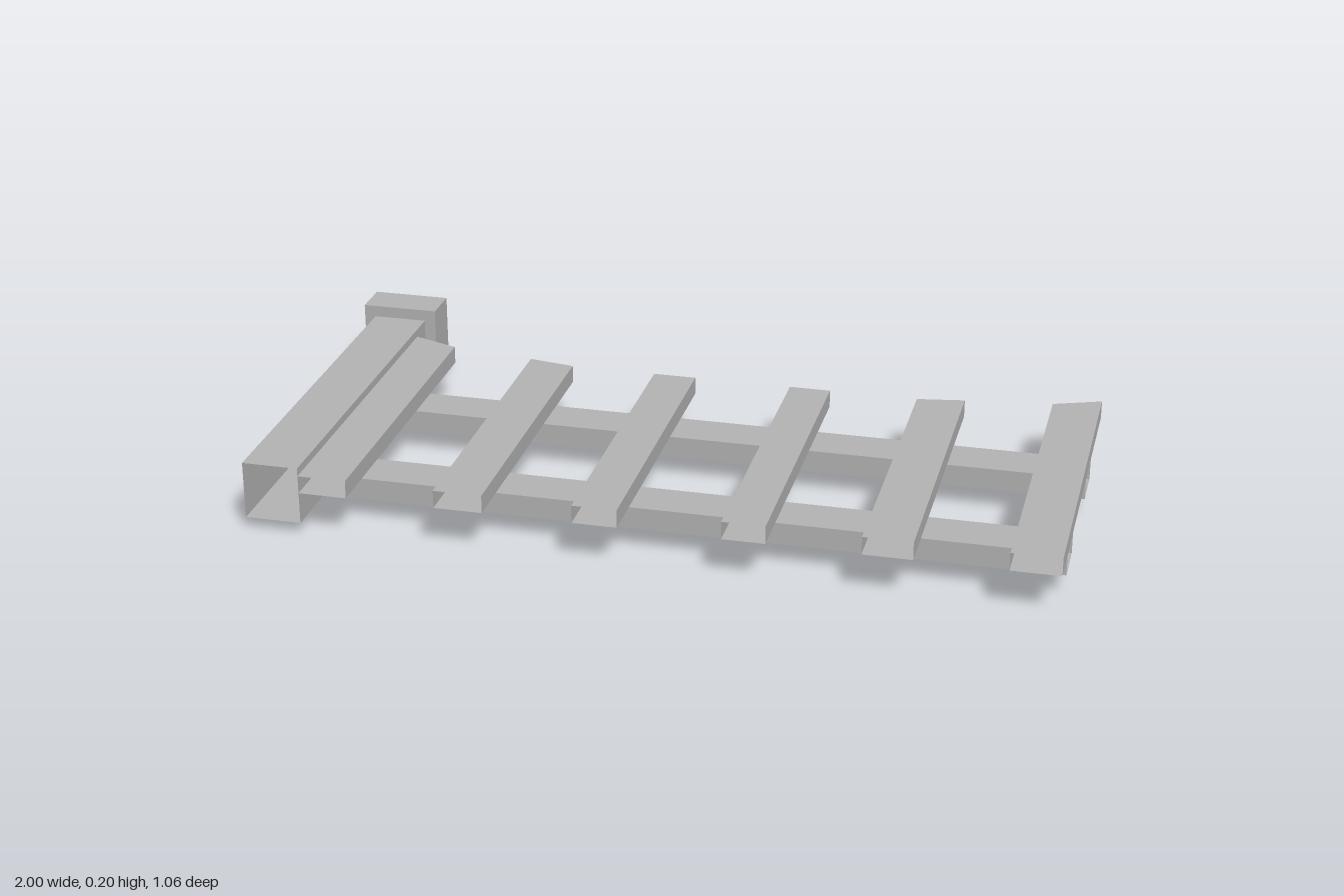
import * as THREE from 'three';

const FACES = { right: 0, left: 1, top: 2, bottom: 3, front: 4, back: 5 };

// Box given by its limits, optionally hollow at one end.
function block(x, y, z, openFace) {
  const geo = new THREE.BoxGeometry(x[1] - x[0], y[1] - y[0], z[1] - z[0]);
  geo.translate((x[0] + x[1]) / 2, (y[0] + y[1]) / 2, (z[0] + z[1]) / 2);
  if (openFace) {
    const index = Array.from(geo.index.array);
    index.splice(FACES[openFace] * 6, 6);
    geo.setIndex(index);
    geo.clearGroups();
  }
  return geo;
}

// Shift the back end so that it runs from zLeft to zRight.
function slantBack(geo, x, zLeft, zRight) {
  const p = geo.attributes.position;
  const mid = (x[0] + x[1]) / 2;
  for (let i = 0; i < p.count; i++) {
    if (p.getZ(i) < 0) p.setZ(i, p.getX(i) < mid ? zLeft : zRight);
  }
  // separate vertices per face keep the edges sharp
  geo.computeVertexNormals();
  return geo;
}

export function createModel() {
  const model = new THREE.Group();
  model.name = 'fenceSection';
  const grey = new THREE.MeshStandardMaterial({ color: 0xb4b4b4, side: THREE.DoubleSide });
  grey.name = 'grey';

  const add = (name, geo) => {
    const mesh = new THREE.Mesh(geo, grey);
    mesh.name = name;
    model.add(mesh);
  };

  // Post, hollow at its foot, with a wider cap
  add('post', block([-0.97, -0.83], [0.03, 0.175], [-0.43, 0.527], 'front'));
  add('postCap', block([-1, -0.8], [0, 0.205], [-0.53, -0.43]));

  // Two long rails, hollow at the free end
  add('upperRail', block([-0.83, 1], [0.055, 0.11], [-0.11, 0.005], 'right'));
  add('lowerRail', block([-0.83, 1], [0.055, 0.11], [0.3, 0.415], 'right'));

  // Pickets: left edge, right edge, back z at each edge
  const pickets = [
    [-0.83, -0.71, -0.365, -0.32],
    [-0.49, -0.37, -0.29, -0.27],
    [-0.15, -0.04, -0.27, -0.27],
    [0.21, 0.315, -0.27, -0.27],
    [0.54, 0.66, -0.27, -0.29],
    [0.88, 1, -0.32, -0.365],
  ];
  pickets.forEach(([x0, x1, zLeft, zRight], i) => {
    const geo = block([x0, x1], [0.11, 0.155], [-0.3, 0.527], 'front');
    add('picket' + (i + 1), slantBack(geo, [x0, x1], zLeft, zRight));
  });

  return model;
}
